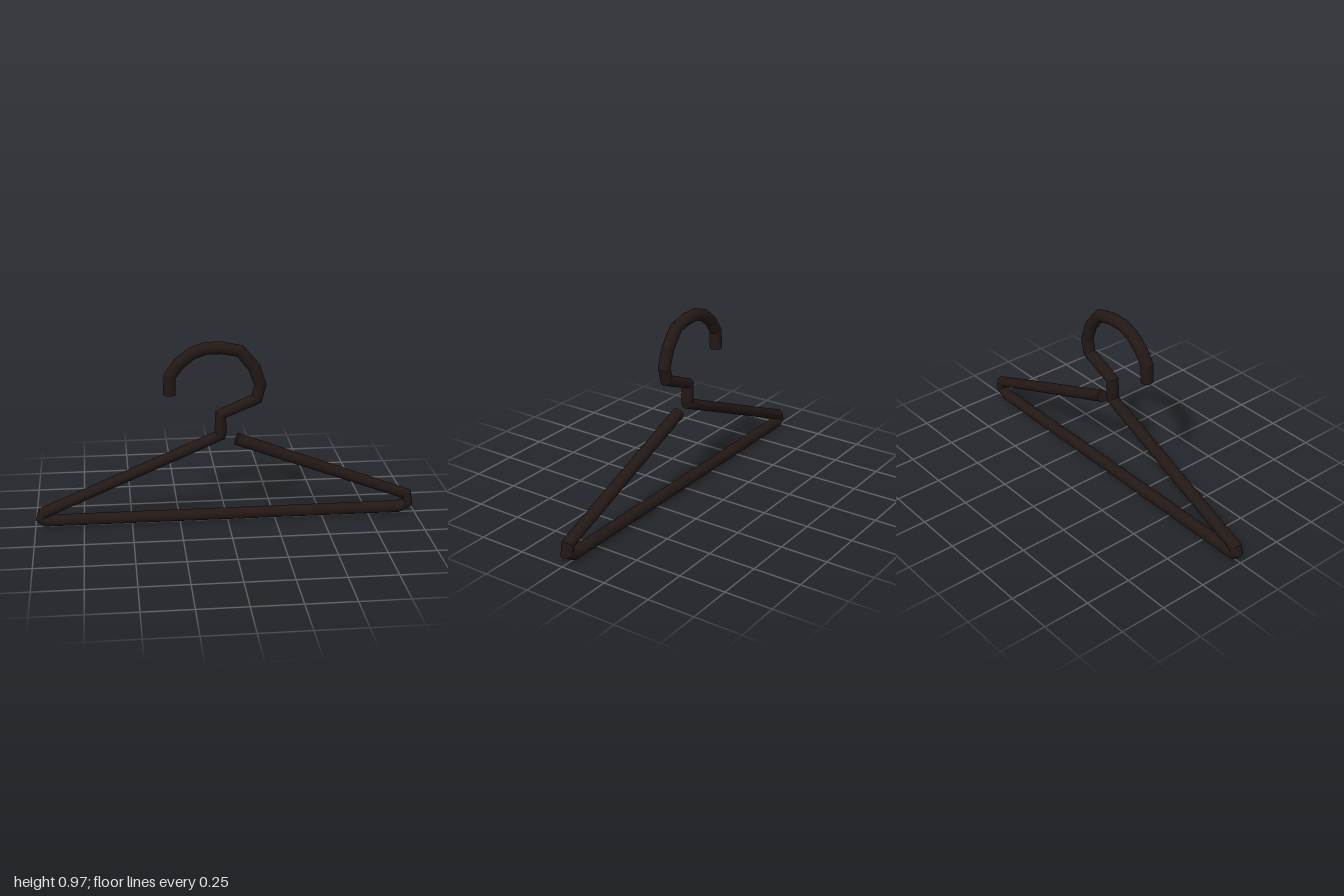
import * as THREE from 'three';

const RADIUS = 0.032, SIDES = 20;

// Centreline of the bent rod, from the hook tip round to the free arm end
const PATH = [
  [-0.296, 0.702], [-0.294, 0.798], [-0.248, 0.862], [-0.184, 0.913], [-0.112, 0.94],
  [-0.029, 0.94], [0.064, 0.921], [0.136, 0.833], [0.168, 0.74], [0.149, 0.666], // hook
  [-0.035, 0.588], [-0.035, 0.503], [-0.038, 0.474],                             // neck
  [-0.959, 0.08], [-0.968, 0.053], [-0.948, 0.036],                              // right corner
  [0.911, 0.036], [0.961, 0.06], [0.953, 0.107],                                 // left corner
  [0.046, 0.451],                                                                // free end
].map(([x, y]) => new THREE.Vector2(x, y));

const direction = (i) => PATH[i + 1].clone().sub(PATH[i]).normalize();

// Round ring at a path point, tilted to halve the bend
function ring(i) {
  const last = PATH.length - 1;
  const t = direction(Math.min(i, last - 1)).add(direction(Math.max(i - 1, 0))).normalize();
  const points = [];
  for (let k = 0; k < SIDES; k++) {
    const a = (k / SIDES) * Math.PI * 2;
    const c = Math.cos(a) * RADIUS;
    points.push([PATH[i].x - t.y * c, PATH[i].y + t.x * c, Math.sin(a) * RADIUS]);
  }
  return points;
}

// Straight rod pieces between two path points: smooth around, creased at bends
function rod(from, to) {
  const positions = [], indices = [];
  const cap = (i, flip) => {
    const base = positions.length / 3;
    positions.push(PATH[i].x, PATH[i].y, 0, ...ring(i).flat());
    for (let k = 0; k < SIDES; k++) {
      const a = base + 1 + k, b = base + 1 + (k + 1) % SIDES;
      indices.push(base, ...(flip ? [b, a] : [a, b]));
    }
  };
  for (let i = from; i < to; i++) {
    const base = positions.length / 3;
    positions.push(...ring(i).flat(), ...ring(i + 1).flat());
    for (let k = 0; k < SIDES; k++) {
      const n = (k + 1) % SIDES;
      const a = base + k, b = base + n, c = a + SIDES, d = b + SIDES;
      indices.push(a, b, c, b, d, c);
    }
  }
  if (from === 0) cap(from, true);
  if (to === PATH.length - 1) cap(to, false);
  const geometry = new THREE.BufferGeometry();
  geometry.setAttribute('position', new THREE.Float32BufferAttribute(positions, 3));
  geometry.setIndex(indices);
  geometry.computeVertexNormals();
  return geometry;
}

export function createModel() {
  const group = new THREE.Group();
  group.name = 'clothesHanger';
  const material = new THREE.MeshStandardMaterial({ color: 0x221815 });
  const parts = [
    ['hook', 0, 9], ['neck', 9, 12], ['rightArm', 12, 13], ['rightCorner', 13, 15],
    ['bottomBar', 15, 16], ['leftCorner', 16, 18], ['leftArm', 18, 19],
  ];
  for (const [name, from, to] of parts) {
    const mesh = new THREE.Mesh(rod(from, to), material);
    mesh.name = name;
    group.add(mesh);
  }
  return group;
}
